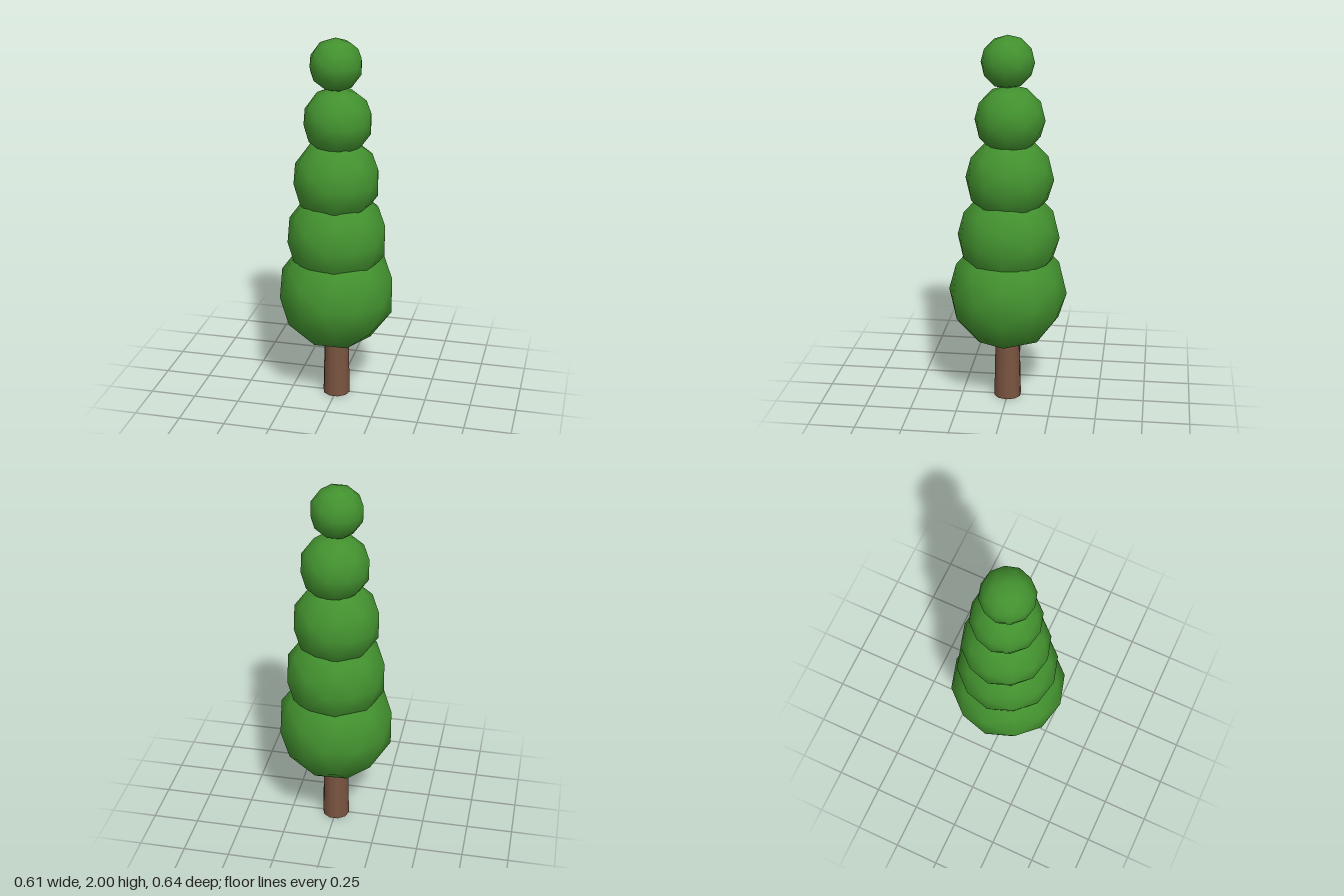
import * as THREE from 'three';

export function createModel() {
  const tree = new THREE.Group();
  tree.name = 'topiaryTree';

  const leafGreen = new THREE.MeshStandardMaterial({ color: 0x43922f });
  leafGreen.name = 'leafGreen';
  const barkBrown = new THREE.MeshStandardMaterial({ color: 0x7a5440 });
  barkBrown.name = 'barkBrown';

  // Smooth-shaded low-poly ball, turned so that a five-sided pole points along z
  const ball = new THREE.IcosahedronGeometry(1, 1);
  ball.rotateX(Math.atan(2 / (1 + Math.sqrt(5))));
  ball.rotateZ(Math.PI / 2);

  // Stacked foliage balls, bottom to top: x, y, z, radius
  const balls = [
    [0, 0.612, 0, 0.32],
    [0, 0.925, -0.004, 0.274],
    [-0.004, 1.243, -0.01, 0.235],
    [0.003, 1.56, -0.012, 0.185],
    [-0.004, 1.86, 0, 0.14],
  ];
  balls.forEach(([x, y, z, r], i) => {
    const mesh = new THREE.Mesh(ball, leafGreen);
    mesh.name = `foliageBall${i + 1}`;
    mesh.position.set(x, y, z);
    mesh.scale.setScalar(r);
    tree.add(mesh);
  });

  // Slightly tapered trunk reaching into the lowest ball
  const trunk = new THREE.Mesh(
    new THREE.CylinderGeometry(0.066, 0.075, 0.4, 10).rotateY(Math.PI / 2),
    barkBrown
  );
  trunk.name = 'trunk';
  trunk.position.y = 0.2;
  tree.add(trunk);

  return tree;
}
